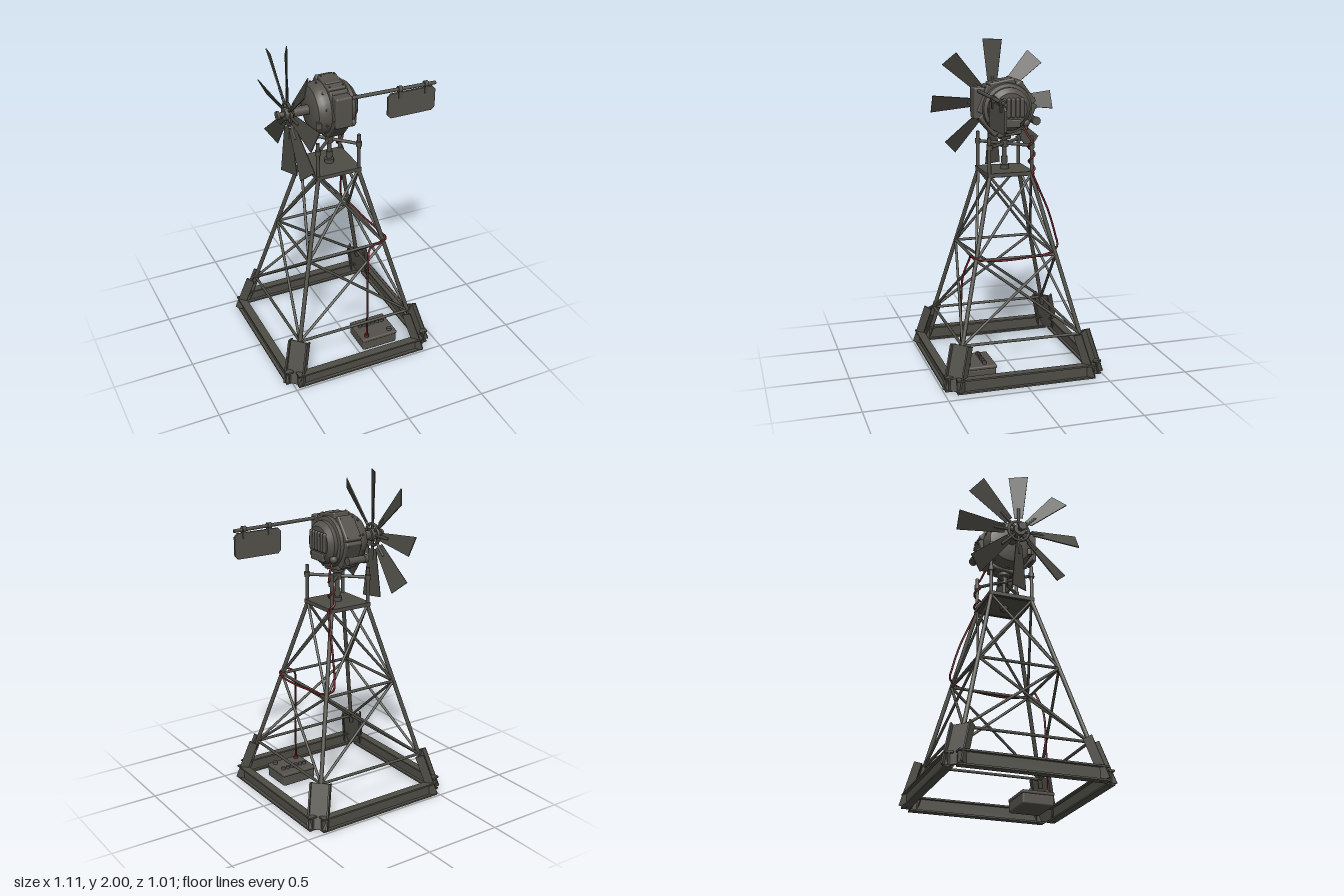
import * as THREE from 'three';
import { toCreasedNormals } from 'three/addons/utils/BufferGeometryUtils.js';
import { RoundedBoxGeometry } from 'three/addons/geometries/RoundedBoxGeometry.js';

const V = (x, y, z) => new THREE.Vector3(x, y, z);
const CX = -0.05; // tower axis

function paint(name, color) {
  const m = new THREE.MeshStandardMaterial({ color });
  m.name = name;
  return m;
}

export function createModel() {
  const frame = paint('frame steel', 0x4e4d46);
  const machine = paint('machine grey', 0x55524c);
  const vane = paint('blade grey', 0x47463f);
  const red = paint('red wire', 0x6a1f20);

  const model = new THREE.Group();
  model.name = 'windTurbine';
  const group = (name, parent = model) => {
    const g = new THREE.Group();
    g.name = name;
    parent.add(g);
    return g;
  };
  const add = (parent, name, geo, mat, x = 0, y = 0, z = 0) => {
    const m = new THREE.Mesh(geo, mat);
    m.name = name;
    m.position.set(x, y, z);
    parent.add(m);
    return m;
  };
  const rod = (parent, name, a, b, r, mat, sides = 10) => {
    const m = add(parent, name, new THREE.CylinderGeometry(r, r, a.distanceTo(b), sides), mat);
    m.position.copy(a).add(b).multiplyScalar(0.5);
    m.quaternion.setFromUnitVectors(V(0, 1, 0), b.clone().sub(a).normalize());
    return m;
  };
  // I-beam along local y: web spans x, flanges lie across z
  const iBeam = (parent, name, len, depth, flange, t) => {
    const g = group(name, parent);
    add(g, 'web', new THREE.BoxGeometry(depth - t, len, t), frame);
    for (const s of [-1, 1])
      add(g, 'flange', new THREE.BoxGeometry(t, len, flange), frame, s * (depth - t) / 2);
    return g;
  };

  // Base frame and leaning corner beams
  const base = group('baseFrame');
  const corners = [[1, 1], [-1, 1], [-1, -1], [1, -1]];
  for (let i = 0; i < 4; i++) {
    const a = i * Math.PI / 2;
    const side = group('baseSide', base);
    side.position.set(CX, 0, 0);
    side.rotation.y = a;
    const beam = iBeam(side, 'baseBeam', 0.86, 0.088, 0.05, 0.01);
    beam.rotation.z = Math.PI / 2;
    beam.position.set(0, 0.045, 0.465);

    const [sx, sz] = corners[i];
    const lo = V(CX + sx * 0.445, 0.008, sz * 0.445), hi = V(CX + sx * 0.378, 0.265, sz * 0.378);
    const up = hi.clone().sub(lo).normalize();
    const across = V(sz, 0, -sx).normalize();
    const post = iBeam(base, 'cornerBeam', lo.distanceTo(hi), 0.125, 0.055, 0.01);
    post.quaternion.setFromRotationMatrix(
      new THREE.Matrix4().makeBasis(across, up, across.clone().cross(up)));
    post.position.copy(lo).add(hi).multiplyScalar(0.5);
  }

  // Lattice tower
  const tower = group('tower');
  const half = (y) => 0.37 - (y - 0.255) * 0.25;
  const at = (i, y) => V(CX + corners[i % 4][0] * half(y), y, corners[i % 4][1] * half(y));
  const levels = [0.255, 0.735, 1.215];
  for (let i = 0; i < 4; i++) {
    rod(tower, 'leg', at(i, 0.2), at(i, 1.22), 0.013, frame);
    for (const y of levels) rod(tower, 'crossBar', at(i, y), at(i + 1, y), 0.009, frame);
    for (let k = 0; k < 2; k++) {
      rod(tower, 'brace', at(i, levels[k]), at(i + 1, levels[k + 1]), 0.0085, frame);
      rod(tower, 'brace', at(i + 1, levels[k]), at(i, levels[k + 1]), 0.0085, frame);
    }
    // Posts above the platform, tied to the pivot
    const px = CX + corners[i][0] * 0.132, pz = corners[i][1] * 0.132;
    rod(tower, 'topPost', V(px, 1.21, pz), V(px, 1.45, pz), 0.011, frame);
    rod(tower, 'tieBar', V(CX, 1.39, 0), V(px, 1.39, pz), 0.01, frame);
    rod(tower, 'tieCollar', V(px, 1.375, pz), V(px, 1.405, pz), 0.018, frame);
  }
  add(tower, 'platform', new THREE.BoxGeometry(0.29, 0.024, 0.29), frame, CX, 1.222, 0);

  // Pivot
  const pivot = group('pivot');
  for (const [y0, y1, r] of [[1.18, 1.48, 0.014], [1.19, 1.21, 0.025], [1.234, 1.26, 0.028],
    [1.27, 1.31, 0.02], [1.37, 1.41, 0.026], [1.42, 1.47, 0.04]])
    rod(pivot, 'pivotPart', V(CX, y0, 0), V(CX, y1, 0), r, frame, 14);

  // Generator, axis along x
  const gen = group('generator');
  gen.position.set(0, 1.61, 0);
  const profile = [[0, -0.185], [0.1, -0.185], [0.135, -0.172], [0.153, -0.145], [0.157, -0.12],
    [0.157, 0], [0.15, 0.03], [0.13, 0.036], [0.13, 0.06], [0.1, 0.088], [0, 0.092]];
  const shell = new THREE.LatheGeometry(profile.map(([r, x]) => new THREE.Vector2(r, x)), 32);
  shell.rotateZ(-Math.PI / 2);
  add(gen, 'housing', toCreasedNormals(shell, 0.5), machine);
  for (let i = 0; i < 5; i++) {
    const ring = add(gen, 'winding', new THREE.TorusGeometry(0.156, 0.007, 6, 40), red, -0.085 + i * 0.0165);
    ring.rotation.y = Math.PI / 2;
  }
  // Cover plates around the windings, angle measured from the top towards +z
  for (const [deg, width] of [[10, 0.16], [67, 0.175], [131, 0.16], [187, 0.15], [247, 0.175], [307, 0.165]]) {
    const arm = group('coverArm', gen);
    arm.rotation.x = THREE.MathUtils.degToRad(deg);
    add(arm, 'coverPlate', new RoundedBoxGeometry(0.112, 0.045, width, 2, 0.01), machine, -0.045, 0.148, 0);
    for (const sx of [-1, 1]) for (const sz of [-1, 1])
      add(arm, 'plateBolt', new THREE.CylinderGeometry(0.005, 0.005, 0.006, 8), machine,
        -0.045 + sx * 0.042, 0.172, sz * (width / 2 - 0.02));
  }
  for (let i = 0; i < 10; i++) {
    const a = i * Math.PI / 5;
    const bolt = add(gen, 'rimBolt', new THREE.CylinderGeometry(0.007, 0.007, 0.008, 8), machine,
      -0.13, Math.cos(a) * 0.158, Math.sin(a) * 0.158);
    bolt.rotation.x = a;
  }
  // Side boxes, capacitor, rear fins
  add(gen, 'tailBox', new RoundedBoxGeometry(0.105, 0.19, 0.07, 2, 0.012), machine, -0.045, 0.035, 0.168);
  add(gen, 'topCap', new RoundedBoxGeometry(0.1, 0.025, 0.09, 2, 0.008), machine, -0.045, 0.158, 0.015);
  rod(gen, 'capacitor', V(-0.12, -0.085, -0.187), V(0, -0.085, -0.187), 0.022, machine, 16);
  for (const x of [-0.12, -0.005])
    rod(gen, 'capacitorCap', V(x - 0.01, -0.085, -0.187), V(x + 0.015, -0.085, -0.187), 0.026, machine, 16);
  for (let i = 0; i < 6; i++)
    add(gen, 'rearFin', new THREE.CapsuleGeometry(0.013, 0.095, 4, 10), machine, 0.089, 0.012, -0.07 + i * 0.028);
  add(gen, 'rearBox', new RoundedBoxGeometry(0.05, 0.05, 0.13, 2, 0.008), machine, 0.072, -0.082, 0.005);
  for (const s of [-1, 1]) {
    add(gen, 'rearLug', new THREE.SphereGeometry(0.024, 14, 10), machine, 0.05, -0.085, s * 0.105);
    add(gen, 'frontLug', new THREE.CylinderGeometry(0.018, 0.018, 0.04, 12), machine, -0.17, -0.05, s * 0.125);
  }

  // Shaft and rotor
  const rotor = group('rotor');
  rotor.position.set(0, 1.61, 0);
  for (const [x0, x1, r] of [[-0.28, -0.18, 0.029], [-0.375, -0.28, 0.016], [-0.38, -0.365, 0.026],
    [-0.335, -0.285, 0.038]])
    rod(rotor, 'shaft', V(x0, 0, 0), V(x1, 0, 0), r, machine, 18);
  const hubRing = add(rotor, 'hubRing', new THREE.TorusGeometry(0.065, 0.01, 8, 28), vane, -0.31);
  hubRing.rotation.y = Math.PI / 2;
  const outline = new THREE.Shape([[-0.026, 0.09], [0.026, 0.09], [0.061, 0.39], [-0.061, 0.39]]
    .map(([x, y]) => new THREE.Vector2(x, y)));
  const bladeGeo = new THREE.ExtrudeGeometry(outline, { depth: 0.006, bevelEnabled: false });
  bladeGeo.translate(0, 0, -0.003).rotateY(Math.PI / 2 - 0.47);
  for (let i = 0; i < 8; i++) {
    const arm = group('bladeArm', rotor);
    arm.position.x = -0.31;
    arm.rotation.x = i * Math.PI / 4;
    add(arm, 'blade', bladeGeo, vane);
    rod(arm, 'bladeSpar', V(0, 0.02, 0), V(0, 0.16, 0), 0.009, vane, 8);
  }

  // Tail boom and vane
  const tail = group('tail');
  rod(tail, 'tailBoom', V(0.0, 1.718, 0.173), V(0.555, 1.708, 0.173), 0.011, frame, 12);
  const c = 0.02, x0 = 0.242, x1 = 0.553, y0 = 1.538, y1 = 1.692;
  const plate = new THREE.Shape([[x0 + c, y0], [x1 - c, y0], [x1, y0 + c], [x1, y1 - c],
    [x1 - c, y1], [x0 + c, y1], [x0, y1 - c], [x0, y0 + c]].map(([x, y]) => new THREE.Vector2(x, y)));
  add(tail, 'tailVane', new THREE.ExtrudeGeometry(plate, { depth: 0.014, bevelEnabled: false }), machine, 0, 0, 0.166);
  for (const x of [0.32, 0.49]) {
    rod(tail, 'clampRing', V(x - 0.012, 1.712, 0.173), V(x + 0.012, 1.712, 0.173), 0.019, frame, 12);
    add(tail, 'clampPlate', new THREE.BoxGeometry(0.022, 0.055, 0.026), frame, x, 1.685, 0.173);
  }

  // Battery
  const battery = group('battery');
  add(battery, 'batteryCase', new RoundedBoxGeometry(0.235, 0.07, 0.2, 2, 0.012), machine, 0.145, 0.037, 0.243);
  add(battery, 'batteryLid', new RoundedBoxGeometry(0.24, 0.022, 0.205, 2, 0.008), machine, 0.145, 0.077, 0.243);
  for (let i = 0; i < 6; i++)
    add(battery, 'fillerCap', new THREE.CylinderGeometry(0.012, 0.012, 0.02, 12), machine, 0.065 + i * 0.032, 0.095, 0.21);
  add(battery, 'terminal', new THREE.CylinderGeometry(0.014, 0.016, 0.02, 12), red, 0.065, 0.095, 0.312);
  add(battery, 'terminal', new THREE.CylinderGeometry(0.014, 0.016, 0.02, 12), machine, 0.225, 0.095, 0.312);

  // Power cable: generator, around a post, along a leg and down to the battery
  const path = [V(0.05, 1.5, -0.09), V(0.08, 1.45, -0.11)];
  for (let i = 0; i <= 16; i++) {
    const a = i * Math.PI / 4;
    path.push(V(0.082 + Math.cos(a) * 0.018, 1.41 - i * 0.011, -0.132 + Math.sin(a) * 0.018));
  }
  path.push(V(0.115, 1.15, -0.16), V(0.135, 1.0, -0.22), V(0.15, 0.85, -0.262), V(0.165, 0.78, -0.272),
    V(0.2, 0.75, -0.22), V(0.215, 0.735, -0.08), V(0.235, 0.735, 0.14), V(0.22, 0.75, 0.24),
    V(0.15, 0.752, 0.27), V(0.1, 0.72, 0.265), V(0.07, 0.6, 0.3), V(0.067, 0.35, 0.312), V(0.065, 0.095, 0.312));
  add(model, 'powerCable',
    new THREE.TubeGeometry(new THREE.CatmullRomCurve3(path, false, 'centripetal'), 220, 0.0065, 7), red);

  return model;
}
